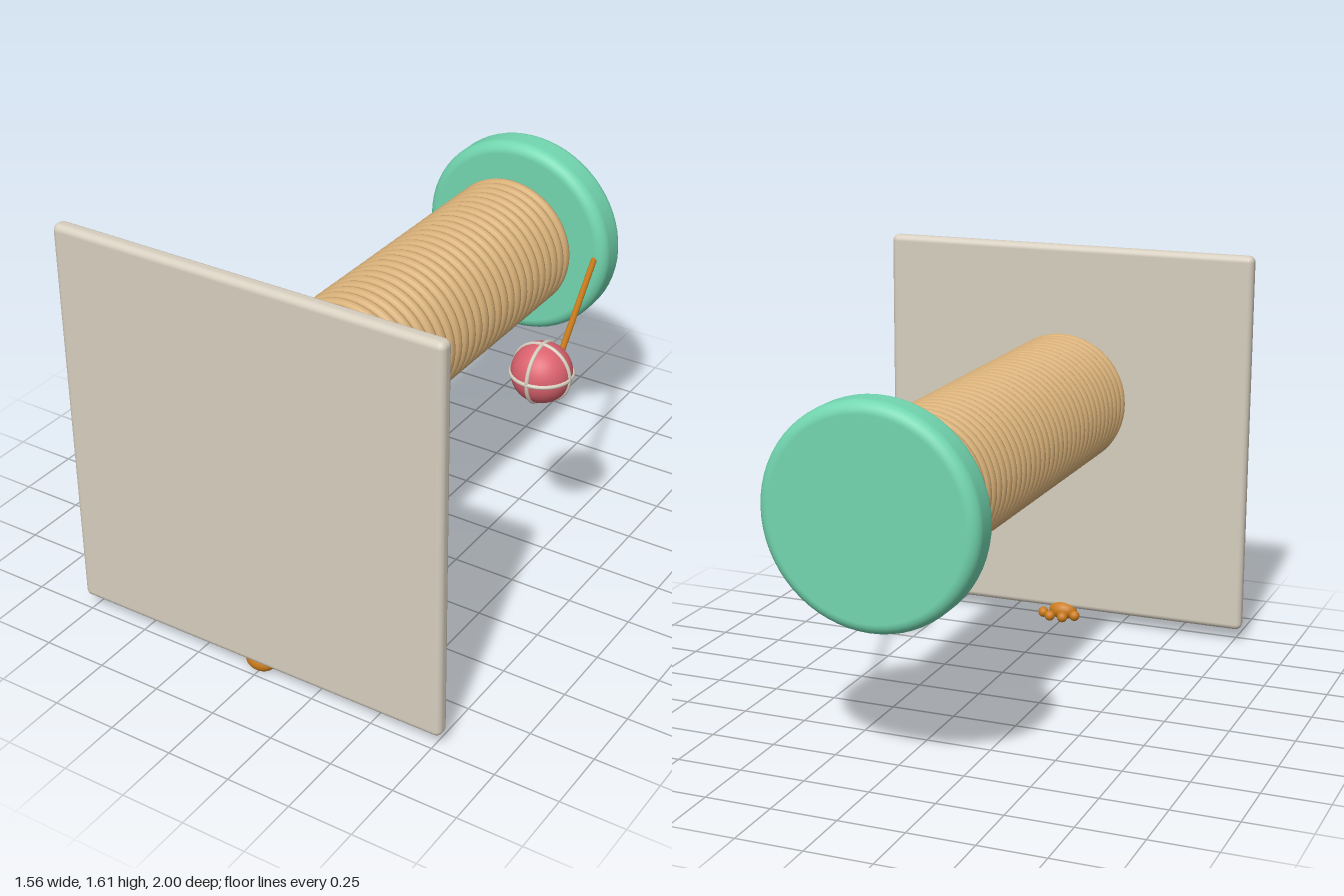
import * as THREE from 'three';
import { RoundedBoxGeometry } from 'three/addons/geometries/RoundedBoxGeometry.js';

const paint = (name, color) => {
  const m = new THREE.MeshStandardMaterial({ color });
  m.name = name;
  return m;
};

// Solid of revolution along z with rounded rims, spanning z0..z1
function roundedDisc(radius, z0, z1, bevel) {
  const h = z1 - z0, pts = [new THREE.Vector2(0, 0)];
  for (const [cy, start] of [[bevel, -Math.PI / 2], [h - bevel, 0]]) {
    for (let i = 0; i <= 8; i++) {
      const a = start + (i / 8) * Math.PI / 2;
      pts.push(new THREE.Vector2(radius - bevel + bevel * Math.cos(a), cy + bevel * Math.sin(a)));
    }
  }
  pts.push(new THREE.Vector2(0, h));
  return new THREE.LatheGeometry(pts, 64).rotateX(Math.PI / 2).translate(0, 0, z0);
}

export function createModel() {
  const model = new THREE.Group();
  model.name = 'scratchingPost';
  const stone = paint('warm grey', 0xd6cebf);
  const rope = paint('sisal tan', 0xd8b078);
  const mint = paint('mint green', 0x72d6b0);
  const pink = paint('rose pink', 0xdb626e);
  const wood = paint('orange brown', 0xcb7c1c);

  const add = (name, geometry, material, x = 0, y = 0, z = 0, parent = model) => {
    const mesh = new THREE.Mesh(geometry, material);
    mesh.name = name;
    mesh.position.set(x, y, z);
    parent.add(mesh);
    return mesh;
  };
  const axisY = 0.973;

  // Square base plate
  add('basePlate', new RoundedBoxGeometry(1.56, 1.555, 0.062, 4, 0.025), stone, 0, 0.828, 0.969);

  // Post core and its rope windings
  add('postCore', roundedDisc(0.245, -0.86, 0.95, 0.04), rope, 0, axisY, 0);
  const windings = new THREE.Group();
  windings.name = 'ropeWindings';
  model.add(windings);
  const ringGeometry = new THREE.TorusGeometry(0.25, 0.025, 10, 56);
  const count = 36;
  for (let i = 0; i < count; i++) {
    const z = 0.903 - (i / (count - 1)) * 1.7;
    add('ropeRing', ringGeometry, rope, 0, axisY, z, windings);
  }

  // Round platform at the far end
  add('platform', roundedDisc(0.407, -1, -0.846, 0.045), mint, 0, axisY, 0);

  // Wand holding the toy
  const from = new THREE.Vector3(0.35, 0.976, -0.88), to = new THREE.Vector3(0.55, 0.9, -0.222);
  const wand = add('wand', new THREE.CylinderGeometry(0.012, 0.012, from.distanceTo(to), 14), wood);
  wand.position.copy(from).lerp(to, 0.5);
  wand.quaternion.setFromUnitVectors(new THREE.Vector3(0, 1, 0), to.clone().sub(from).normalize());

  // Toy ball with three crossing bands
  const toy = new THREE.Group();
  toy.name = 'toyBall';
  toy.position.set(0.55, 0.902, -0.084);
  model.add(toy);
  add('ball', new THREE.SphereGeometry(0.115, 32, 24), pink, 0, 0, 0, toy);
  const band = new THREE.TorusGeometry(0.114, 0.008, 8, 48);
  add('bandFront', band, stone, 0, 0, 0, toy);
  add('bandSide', band, stone, 0, 0, 0, toy).rotation.y = Math.PI / 2;
  add('bandLevel', band, stone, 0, 0, 0, toy).rotation.x = Math.PI / 2;

  // Paw ornament at the lower edge
  const paw = new THREE.Group();
  paw.name = 'paw';
  model.add(paw);
  add('pawPad', new THREE.SphereGeometry(1, 24, 16).scale(0.06, 0.04, 0.043), wood, 0, 0.04, 0.953, paw);
  const toe = new THREE.SphereGeometry(0.022, 16, 12);
  for (const side of [-1, 1]) {
    add('outerToe', toe, wood, side * 0.07, 0.038, 0.9, paw);
    add('innerToe', toe, wood, side * 0.028, 0.038, 0.864, paw);
  }
  return model;
}
